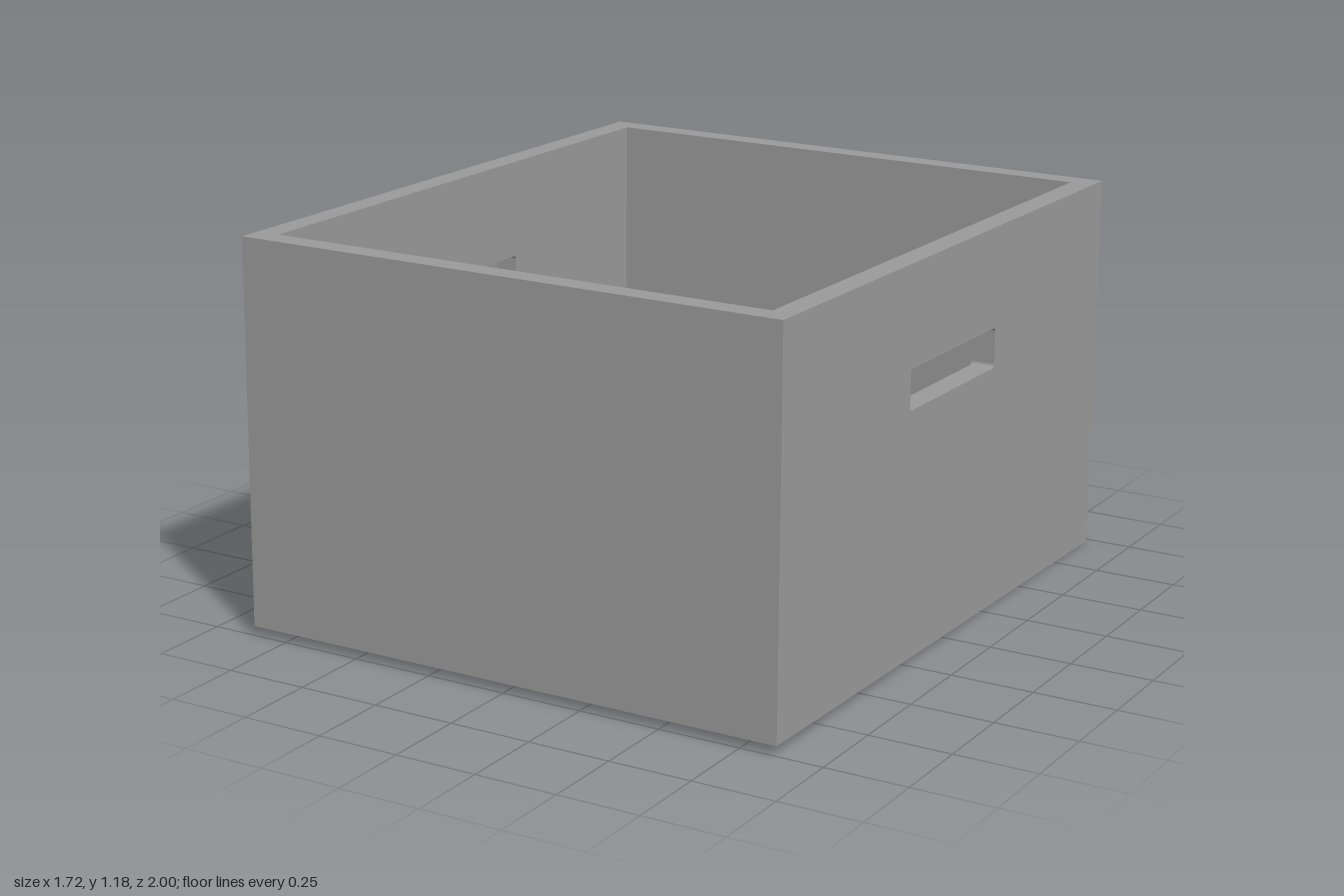
import * as THREE from 'three';

const W = 1.723, H = 1.151, L = 1.984; // outer width, height, length
const T = 0.071;                       // panel thickness
const TILT = 0.0145;                   // front edge slightly raised

const material = new THREE.MeshStandardMaterial({ color: 0x9b9b9b });

function addPart(parent, name, geometry, x, y, z) {
  const mesh = new THREE.Mesh(geometry, material);
  mesh.name = name;
  mesh.position.set(x, y, z);
  parent.add(mesh);
}

// Rectangle with rounded corners, centred on (0, cy)
function roundedSlot(w, h, r, cy) {
  const p = new THREE.Path();
  const a = w / 2 - r, b = h / 2 - r;
  p.absarc(a, cy + b, r, 0, Math.PI / 2);
  p.absarc(-a, cy + b, r, Math.PI / 2, Math.PI);
  p.absarc(-a, cy - b, r, Math.PI, Math.PI * 1.5);
  p.absarc(a, cy - b, r, Math.PI * 1.5, Math.PI * 2);
  p.closePath();
  return p;
}

// Side panel with a handle slot, lying in the zy plane
function sidePanel() {
  const s = new THREE.Shape();
  s.moveTo(-L / 2, -H / 2);
  s.lineTo(L / 2, -H / 2);
  s.lineTo(L / 2, H / 2);
  s.lineTo(-L / 2, H / 2);
  s.closePath();
  s.holes.push(roundedSlot(0.533, 0.119, 0.012, 0.217));
  const g = new THREE.ExtrudeGeometry(s, { depth: T, bevelEnabled: false, curveSegments: 6 });
  return g.translate(0, 0, -T / 2).rotateY(Math.PI / 2);
}

export function createModel() {
  const model = new THREE.Group();
  model.name = 'openCrate';

  const crate = new THREE.Group();
  crate.name = 'tiltedCrate';
  crate.rotation.x = -TILT;
  crate.position.y = (H * Math.cos(TILT) + L * Math.sin(TILT)) / 2;
  model.add(crate);

  // Sides with handle slots
  const sideX = (W - T) / 2;
  addPart(crate, 'leftSide', sidePanel(), sideX, 0, 0);
  addPart(crate, 'rightSide', sidePanel(), -sideX, 0, 0);

  // Front and back panels between the sides
  const innerW = W - 2 * T;
  const endZ = (L - T) / 2;
  addPart(crate, 'frontPanel', new THREE.BoxGeometry(innerW, H, T), 0, 0, endZ);
  addPart(crate, 'backPanel', new THREE.BoxGeometry(innerW, H, T), 0, 0, -endZ);

  // Floor
  addPart(crate, 'floor', new THREE.BoxGeometry(innerW, T, L - 2 * T), 0, (T - H) / 2, 0);

  return model;
}
